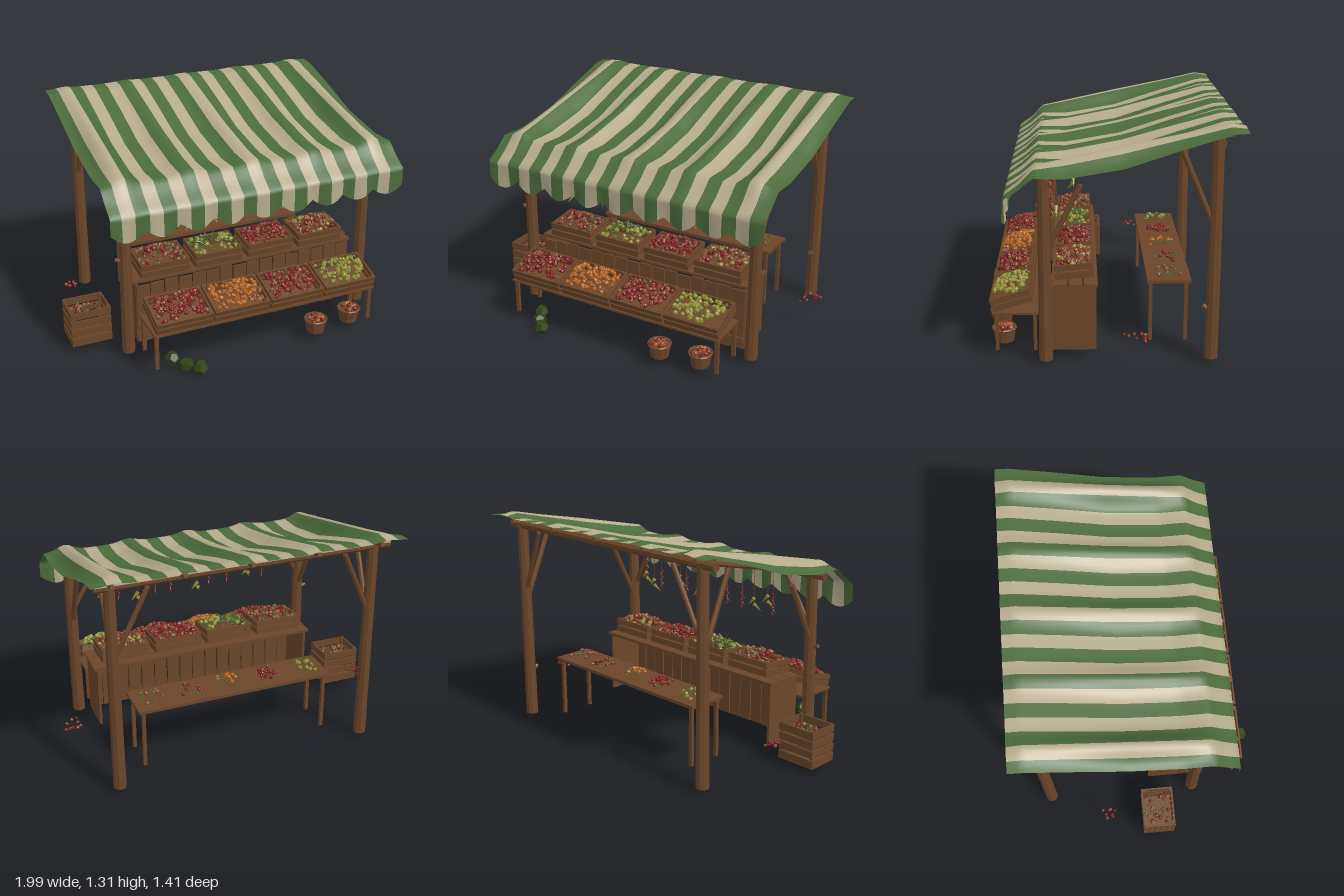
import * as THREE from 'three';
import { mergeGeometries } from 'three/addons/utils/BufferGeometryUtils.js';

const mat = (name, color, extra = {}) => Object.assign(new THREE.MeshStandardMaterial({ color, ...extra }), { name });
const V = (x, y, z) => new THREE.Vector3(x, y, z);

// seeded random
let seed = 7;
const rnd = (a = 0, b = 1) => {
  seed = (seed * 16807) % 2147483647;
  return a + (b - a) * seed / 2147483647;
};

// piecewise linear lookup through [position, value] pairs
const lerpTable = (t, v) => {
  for (let i = 1; i < t.length; i++) {
    if (v <= t[i][0]) return THREE.MathUtils.mapLinear(v, t[i - 1][0], t[i][0], t[i - 1][1], t[i][1]);
  }
  return t[t.length - 1][1];
};

export function createModel() {
  seed = 7;
  const model = new THREE.Group();
  model.name = 'marketStall';
  const flat = { flatShading: true };
  const M = {
    wood: mat('wood', 0x6b4629, flat),
    green: mat('greenCanvas', 0x4c6b3b, { side: THREE.DoubleSide }),
    cream: mat('creamCanvas', 0xb5ab8c, { side: THREE.DoubleSide }),
    red: mat('redProduce', 0x7a1f1c, flat),
    orange: mat('orangeProduce', 0xb0601c, flat),
    lime: mat('yellowGreenProduce', 0x8f8c34, flat),
    leaf: mat('leafGreen', 0x4b6a30, flat),
    cabbage: mat('cabbageGreen', 0x2f4214, flat),
    brown: mat('brownProduce', 0x7d4a2e, flat),
  };

  const group = (name, parent = model, x = 0, y = 0, z = 0, rx = 0) => {
    const g = new THREE.Group();
    g.name = name;
    g.position.set(x, y, z);
    g.rotation.x = rx;
    parent.add(g);
    return g;
  };
  const add = (parent, name, geo, m) => {
    const mesh = new THREE.Mesh(geo, m);
    mesh.name = name;
    parent.add(mesh);
    return mesh;
  };
  const box = (parent, name, w, h, d, x, y, z) => {
    const b = add(parent, name, new THREE.BoxGeometry(w, h, d), M.wood);
    b.position.set(x, y, z);
    return b;
  };
  const log = (parent, name, a, b, r0, r1 = r0, sides = 9, m = M.wood) => {
    const c = add(parent, name, new THREE.CylinderGeometry(r1, r0, a.distanceTo(b), sides), m);
    c.position.copy(a).lerp(b, 0.5);
    c.quaternion.setFromUnitVectors(V(0, 1, 0), b.clone().sub(a).normalize());
    return c;
  };

  // timber frame
  const frame = group('frame');
  const rafters = [-0.72, -0.34, 0.04, 0.41, 0.79];
  for (const [x, s] of [[-0.71, 1], [0.785, -1]]) {
    log(frame, 'frontPost', V(x, 0.04, 0.31), V(x + 0.005, 1.05, 0.31), 0.038, 0.031);
    log(frame, 'backPost', V(x, 0.04, -0.575), V(x + 0.005, 1.26, -0.575), 0.037, 0.031);
    log(frame, 'frontSideBrace', V(x, 0.67, 0.29), V(x, 1.01, 0.12), 0.015);
    log(frame, 'backSideBrace', V(x, 0.82, -0.55), V(x, 1.2, -0.39), 0.015);
    log(frame, 'frontBrace', V(x + 0.02 * s, 0.74, 0.31), V(x + 0.19 * s, 1.03, 0.3), 0.014);
    log(frame, 'backBrace', V(x + 0.02 * s, 0.86, -0.58), V(x + 0.19 * s, 1.22, -0.6), 0.014);
  }
  log(frame, 'frontBeam', V(-0.8, 1.04, 0.3), V(0.87, 1.04, 0.3), 0.022);
  log(frame, 'backBeam', V(-0.8, 1.24, -0.58), V(0.87, 1.24, -0.58), 0.025);
  for (const x of rafters) log(frame, 'rafter', V(x, 1.05, 0.35), V(x, 1.265, -0.65), 0.016, 0.014, 7);
  log(frame, 'postPeg', V(-0.71, 0.61, 0.31), V(-0.765, 0.63, 0.31), 0.012);
  log(frame, 'postPeg', V(0.785, 0.31, -0.57), V(0.785, 0.34, -0.52), 0.014);

  // striped canopy draped over the rafters, with a scalloped front edge
  const ridge = [[-0.71, 1.31], [-0.63, 1.325], [-0.45, 1.285], [-0.1, 1.215], [0.2, 1.15], [0.36, 1.115], [0.43, 1.035], [0.51, 0.97]];
  const slack = [[-0.71, 0.01], [-0.63, 0.03], [-0.4, 0.05], [-0.1, 0.09], [0.2, 0.075], [0.36, 0.035], [0.43, 0.015], [0.51, 0]];
  const columns = [];
  const edges = [-0.84];
  for (let k = 0; k < 12; k++) {
    const c = -0.817 + 0.1535 * k;
    if (k) edges.push(c - 0.039);
    edges.push(k < 11 ? c + 0.039 : 0.917);
  }
  edges.slice(1).forEach((e, i) => {
    for (let j = 0; j < 4; j++) columns.push([edges[i] + (e - edges[i]) * j / 4, i % 2]);
  });
  columns.push([0.917, 0]);
  const ROWS = 48, DROP = 6, total = ROWS + DROP + 1;
  const pos = [], faces = [[], []];
  columns.forEach(([x, tone], i) => {
    const lift = Math.max(...rafters.map((r, n) => (n % 4 ? 0.6 : 1) * Math.exp(-(((x - r) / 0.065) ** 2))));
    const scallop = Math.abs(Math.sin((x + 0.84) / 1.757 * Math.PI * 9));
    for (let j = 0; j < total; j++) {
      if (j <= ROWS) {
        const z = -0.71 + 1.22 * j / ROWS;
        pos.push(x, lerpTable(ridge, z) - lerpTable(slack, z) * (1 - lift), z);
      } else {
        const t = (j - ROWS) / DROP;
        pos.push(x, 0.97 - t * (0.1 + 0.05 * scallop), 0.51 + 0.008 * t * Math.sin(x * 30));
      }
      if (i < columns.length - 1 && j < total - 1) {
        const a = i * total + j, b = a + total;
        faces[tone].push(a, a + 1, b, b, a + 1, b + 1);
      }
    }
  });
  const cloth = new THREE.BufferGeometry();
  cloth.setAttribute('position', new THREE.Float32BufferAttribute(pos, 3));
  cloth.setIndex([...faces[0], ...faces[1]]);
  cloth.addGroup(0, faces[0].length, 0);
  cloth.addGroup(faces[0].length, faces[1].length, 1);
  cloth.computeVertexNormals();
  add(model, 'canopy', cloth, [M.green, M.cream]);

  // counter: planked front, end panels, open back
  const counter = group('counter');
  for (let i = 0; i < 16; i++) {
    box(counter, 'frontPlank', 0.079, 0.37 + rnd(-0.01, 0.01), 0.012, -0.6 + i * 0.0853, 0.24, 0.275 + rnd(-0.003, 0.003));
  }
  for (const x of [-0.635, 0.715]) box(counter, 'endPanel', 0.015, 0.365, 0.23, x, 0.243, 0.155);
  box(counter, 'lowerRail', 1.37, 0.03, 0.012, 0.035, 0.115, 0.288);
  for (const z of [0.07, 0.15, 0.23]) box(counter, 'topBoard', 1.4, 0.016, 0.076, 0.04, 0.438, z);

  // lower display shelf
  const shelf = group('lowerShelf');
  box(shelf, 'shelfBoard', 1.37, 0.012, 0.25, 0.035, 0.273, 0.475);
  for (const x of [-0.635, 0.705]) for (const z of [0.37, 0.575]) box(shelf, 'shelfLeg', 0.022, 0.21, 0.018, x, 0.163, z);

  // back table
  const table = group('backTable');
  box(table, 'tableTop', 1.17, 0.018, 0.24, 0.045, 0.411, -0.36);
  for (const x of [-0.51, 0.6]) for (const z of [-0.26, -0.455]) box(table, 'tableLeg', 0.02, 0.345, 0.02, x, 0.23, z);

  // loose pieces piled into a mound, merged per colour
  const heap = (parent, name, w, d, h, mix, count, size, x = 0, y = 0, z = 0) => {
    const g = group(name, parent, x, y, z);
    const bins = new Map();
    for (let i = 0; i < count; i++) {
      const m = mix[Math.floor(rnd(0, mix.length))];
      const u = rnd(-1, 1), v = rnd(-1, 1), s = size * rnd(0.7, 1.2);
      const geo = m === M.leaf ? new THREE.ConeGeometry(s * 0.5, s * 2.2, 4) : new THREE.IcosahedronGeometry(s, 0);
      geo.deleteAttribute('uv');
      const piece = geo.index ? geo.toNonIndexed() : geo;
      piece.rotateX(rnd(0, 3)).rotateZ(rnd(0, 3));
      piece.translate(u * w / 2, h * (1 - u * u * 0.6) * (1 - v * v * 0.6) * rnd(0.65, 1), v * d / 2);
      bins.set(m, [...(bins.get(m) || []), piece]);
    }
    for (const [m, list] of bins) add(g, name + 'Pieces', mergeGeometries(list), m);
  };

  // slatted crate
  const crate = (parent, w, d, h, slats) => {
    box(parent, 'crateFloor', w, 0.01, d, 0, 0.005, 0);
    for (const s of [-1, 1]) {
      for (let i = 0; i < slats; i++) {
        const y = h * (i + 0.5) / slats, t = h / slats * 0.78;
        box(parent, 'crateLongSlat', w, t, 0.01, 0, y, s * (d / 2 - 0.005));
        box(parent, 'crateEndSlat', 0.01, t, d, s * (w / 2 - 0.005), y, 0);
      }
      for (const e of [-1, 1]) box(parent, 'crateCorner', 0.016, h, 0.016, s * (w / 2 - 0.016), h / 2, e * (d / 2 - 0.016));
    }
  };
  const { red, orange, lime, leaf, brown } = M;
  [[brown, brown, red, leaf], [leaf, leaf, leaf, lime], [red, red, red, brown], [brown, brown, red, lime]].forEach((mix, i) => {
    const c = group('upperCrate', model, -0.455 + i * 0.33, 0.457, 0.155, 0.09);
    crate(c, 0.29, 0.21, 0.085, 2);
    heap(c, 'upperProduce', 0.26, 0.18, 0.07, mix, 120, 0.014, 0, 0.055);
  });
  [[red, red, red, brown], [orange, orange, orange, brown], [red, red, brown], [lime, lime, lime, leaf]].forEach((mix, i) => {
    const c = group('lowerCrate', model, -0.475 + i * 0.343, 0.314, 0.485, 0.29);
    crate(c, 0.33, 0.225, 0.075, 2);
    heap(c, 'lowerProduce', 0.28, 0.18, 0.06, mix, 120, 0.014, 0, 0.055);
  });

  // side crate on the ground
  const side = group('sideCrate', model, -0.88, 0.05, 0.078);
  crate(side, 0.235, 0.19, 0.22, 4);
  heap(side, 'sideProduce', 0.18, 0.13, 0.03, [red, leaf, brown], 40, 0.014, 0, 0.16);

  // bundles on the back table and loose peppers beside the stall
  [[leaf, lime], [red, red, leaf], [orange, leaf], [leaf, leaf, red], [brown, leaf]].forEach((mix, i) => {
    heap(model, 'tableBundle', 0.12, 0.13, 0.035, mix, 26, 0.012, -0.42 + i * 0.235, 0.425, -0.36);
  });
  heap(model, 'loosePeppers', 0.1, 0.15, 0.03, [red, red, brown], 12, 0.011, 0.94, 0.22, -0.15);
  heap(model, 'loosePeppers', 0.07, 0.09, 0.03, [red, red, brown], 9, 0.011, -0.89, 0.22, -0.215);

  // woven baskets
  for (const [x, z] of [[0.35, 0.575], [0.59, 0.545]]) {
    const b = group('basket', model, x, 0.06, z);
    log(b, 'basketBody', V(0, 0, 0), V(0, 0.075, 0), 0.052, 0.064, 10);
    const rim = add(b, 'basketRim', new THREE.TorusGeometry(0.064, 0.007, 5, 12), M.wood);
    rim.rotation.x = Math.PI / 2;
    rim.position.y = 0.078;
    heap(b, 'basketProduce', 0.08, 0.08, 0.025, [brown, red, orange], 24, 0.014, 0, 0.075);
  }

  // cabbages
  for (const [x, y, z, r] of [[-0.41, 0.054, 0.655, 0.044], [-0.47, 0.05, 0.59, 0.042], [-0.52, 0.053, 0.505, 0.042]]) {
    const c = add(model, 'cabbage', new THREE.DodecahedronGeometry(r, 0), M.cabbage);
    c.position.set(x, y, z);
    c.rotation.set(x * 9, z * 7, 0.3);
  }

  // hanging garlands: strings of peppers and dry husks
  const hanging = (x, z, top, bottom, m, size) => {
    const g = group('garland', model, x, 0, z);
    log(g, 'garlandString', V(0, bottom, 0), V(0, 1.05, 0), 0.002, 0.002, 4);
    for (let y = top, a = 0; y > bottom; y -= size * 0.8, a += 2.2) {
      const c = V(Math.cos(a), -1.1, Math.sin(a)).multiplyScalar(size).add(V(0, y, 0));
      log(g, 'garlandPiece', c, V(0, y, 0), 0.001, size * 0.3, 5, m);
    }
  };
  for (const x of [-0.44, -0.2, -0.08, 0.17, 0.27, 0.5]) hanging(x, 0.29, 0.88, 0.745, red, 0.017);
  hanging(0.62, 0.275, 1.02, 0.8, red, 0.018);
  for (const [x, z] of [[-0.35, 0.35], [-0.33, 0.25], [0.04, 0.16], [0.38, 0.34], [0.42, 0.15], [0.6, 0.25]]) hanging(x, z, 0.84, 0.79, lime, 0.042);

  return model;
}
